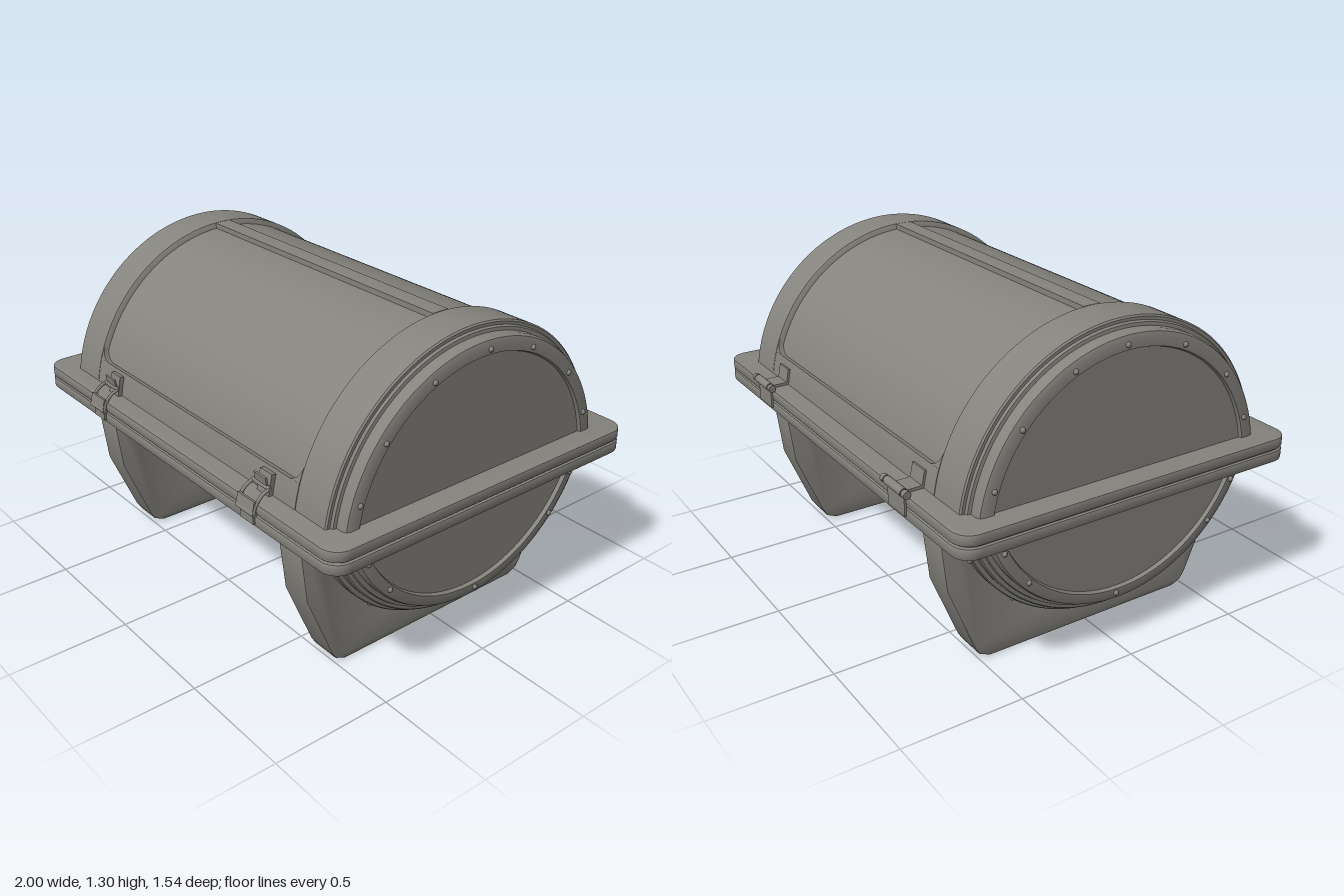
import * as THREE from 'three';
import { toCreasedNormals } from 'three/addons/utils/BufferGeometryUtils.js';

const R = 0.673, FLOOR = 0.651;      // lid skin radius and recessed panel radius
const LID_Y = 0.63, TUB_Y = 0.82;    // axis heights of the two half barrels
const PANEL_X = 0.685, RIDGE = 0.053, PANEL_END = 1.28;

export function createModel() {
  const model = new THREE.Group();
  const metal = new THREE.MeshStandardMaterial({ color: 0x85837d, side: THREE.DoubleSide });
  metal.name = 'grey metal';

  const add = (name, geometry, parent = model, x = 0, y = 0, z = 0) => {
    const mesh = new THREE.Mesh(geometry, metal);
    mesh.name = name;
    mesh.position.set(x, y, z);
    parent.add(mesh);
    return mesh;
  };
  const group = (name, parent = model) => {
    const g = new THREE.Group();
    g.name = name;
    parent.add(g);
    return g;
  };
  const box = (name, parent, w, h, d, x, y, z) => add(name, new THREE.BoxGeometry(w, h, d), parent, x, y, z);

  // Revolves a [radius, x] profile about the x axis; angle 0 points up, positive angles to the front
  const basis = new THREE.Matrix4().makeBasis(
    new THREE.Vector3(0, 0, 1), new THREE.Vector3(1, 0, 0), new THREE.Vector3(0, 1, 0));
  const arc = (profile, from, to, segments = 72) => toCreasedNormals(
    new THREE.LatheGeometry(profile.map(p => new THREE.Vector2(...p)), segments, from, to - from).applyMatrix4(basis), 0.5);
  const mirrored = half => [...half.map(([r, x]) => [r, -x]), ...half.slice().reverse()];

  // Lid: recessed end discs, riveted rims, wide end bands and a sunken middle
  const lid = group('lid');
  lid.position.y = LID_Y;
  add('lidShell', arc(mirrored([
    [0, 0.905], [0.572, 0.905], [0.577, 0.918], [0.615, 0.918], [0.63, 0.912], [0.637, 0.897],
    [0.637, 0.868], [0.65, 0.866], [0.655, 0.856], [0.667, 0.856], [R, 0.85],
    [R, PANEL_X + 0.003], [R - 0.004, PANEL_X], [FLOOR, PANEL_X - 0.005],
  ]), -1.52, 1.52, 96), lid);
  const strip = [[FLOOR - 0.01, -PANEL_X], [R, -PANEL_X], [R, PANEL_X], [FLOOR - 0.01, PANEL_X]];
  add('lidRidge', arc(strip, -RIDGE, RIDGE, 6), lid);
  const ridgeSide = new THREE.BoxGeometry(PANEL_X * 2, 0.025, 0.002);
  for (const s of [-1, 1]) {
    add('ridgeSide', ridgeSide, lid, 0, R - 0.0135, s * R * Math.sin(RIDGE));
    add('lidLowerRail', arc(strip, s > 0 ? PANEL_END : -1.52, s > 0 ? 1.52 : -PANEL_END, 8), lid);
    const lip = box('railLip', lid, PANEL_X * 2, 0.002, 0.025, 0,
      0.661 * Math.cos(PANEL_END), s * 0.661 * Math.sin(PANEL_END));
    lip.rotation.x = s * (PANEL_END - Math.PI / 2);
  }

  // Rounded lower corners of the sunken panels, wrapped on the barrel
  const cornerR = 0.06;
  for (const sx of [-1, 1]) for (const sz of [-1, 1]) {
    const shape = new THREE.Shape();
    shape.moveTo(0, 0);
    shape.lineTo(-sx * cornerR, 0);
    shape.quadraticCurveTo(-sx * cornerR * 0.15, sz * cornerR * 0.15, 0, sz * cornerR);
    shape.closePath();
    const g = new THREE.ExtrudeGeometry(shape, { depth: R - FLOOR + 0.005, bevelEnabled: false, curveSegments: 8 });
    const p = g.attributes.position;
    for (let i = 0; i < p.count; i++) {
      const a = sz * PANEL_END - p.getY(i) / R, r = FLOOR - 0.005 + p.getZ(i);
      p.setXYZ(i, sx * PANEL_X + p.getX(i), r * Math.cos(a), r * Math.sin(a));
    }
    add('panelCorner', toCreasedNormals(g, 0.5), lid);
  }

  // Tub: lower half barrel with stepped ends and hoops
  const tub = group('tub');
  tub.position.y = TUB_Y;
  const low = Math.PI - 1.345, high = Math.PI + 1.345;
  add('tubShell', arc(mirrored([
    [0, 0.902], [0.563, 0.902], [0.568, 0.918], [0.597, 0.918], [0.61, 0.912], [0.616, 0.897],
    [0.616, 0.875], [0.633, 0.872], [0.636, 0.862], [0.65, 0.86], [0.655, 0.855],
  ]), low, high, 96), tub);

  const rivet = new THREE.SphereGeometry(0.011, 10, 8);
  for (const x of [-0.805, -0.29, 0.288, 0.803]) {
    add('hoop', arc([[0.65, x - 0.024], [0.67, x - 0.024], [0.674, x - 0.02],
      [0.674, x + 0.02], [0.67, x + 0.024], [0.65, x + 0.024]], low, high), tub);
    for (const deg of [-62, -38, -13, 13, 38, 62]) {
      const a = deg * Math.PI / 180;
      add('hoopRivet', rivet, tub, x, -0.672 * Math.cos(a), 0.672 * Math.sin(a));
    }
  }

  // Rivets around the end rims
  const rimRivets = (parent, r, up, degrees) => {
    for (const side of [-1, 1]) for (const deg of degrees) {
      const a = deg * Math.PI / 180;
      add('rimRivet', rivet, parent, side * 0.918, up * r * Math.cos(a), r * Math.sin(a));
    }
  };
  rimRivets(lid, 0.597, 1, [-72, -50, -24, -2, 24, 50, 72]);
  rimRivets(tub, 0.585, -1, [-64, -46, -2, 46, 64]);

  // Flange: two rounded plates with a thin seam between them
  const plate = (name, w, d, y0, y1, bevel) => {
    const x = w - bevel, z = d - bevel, r = 0.07;
    const s = new THREE.Shape();
    s.moveTo(-x + r, -z);
    s.lineTo(x - r, -z);
    s.absarc(x - r, -z + r, r, -Math.PI / 2, 0);
    s.absarc(x - r, z - r, r, 0, Math.PI / 2);
    s.absarc(-x + r, z - r, r, Math.PI / 2, Math.PI);
    s.absarc(-x + r, -z + r, r, Math.PI, Math.PI * 1.5);
    const g = new THREE.ExtrudeGeometry(s, {
      depth: y1 - y0 - 2 * bevel, bevelEnabled: bevel > 0, bevelSize: bevel,
      bevelThickness: bevel, bevelSegments: 2, curveSegments: 10,
    }).rotateX(-Math.PI / 2);
    add(name, toCreasedNormals(g, 0.5), model, 0, y0 + bevel);
  };
  plate('lowerFlange', 1, 0.748, 0.63, 0.675, 0.006);
  plate('flangeSeal', 0.988, 0.736, 0.66, 0.7, 0);
  plate('upperFlange', 1, 0.748, 0.682, 0.727, 0.006);

  // Cradle feet with a round seat for the tub
  const outline = [[0.607, 0.57], [0.645, 0.563], [0.651, 0.53], [0.628, 0.34],
    [0.51, 0.055], [0.49, 0.025], [0.45, 0.008]];
  const cradle = new THREE.Shape();
  outline.forEach(([z, y], i) => (i ? cradle.lineTo(z, y) : cradle.moveTo(z, y)));
  outline.slice().reverse().forEach(([z, y]) => cradle.lineTo(-z, y));
  const seat = Math.atan2(0.25, 0.6);
  cradle.absarc(0, TUB_Y, 0.65, Math.PI + seat, Math.PI * 2 - seat, false);
  const cradleGeometry = toCreasedNormals(new THREE.ExtrudeGeometry(cradle, {
    depth: 0.117, bevelSize: 0.008, bevelThickness: 0.008, bevelSegments: 2, curveSegments: 40,
  }).translate(0, 0, -0.0585).rotateY(-Math.PI / 2), 0.5);
  for (const x of [-0.65, 0.647]) add('cradleFoot', cradleGeometry, model, x);

  const tube = points => new THREE.TubeGeometry(
    new THREE.CatmullRomCurve3(points.map(p => new THREE.Vector3(...p))), 16, 0.007, 8);
  const rod = (r, length) => new THREE.CylinderGeometry(r, r, length, 16).rotateZ(Math.PI / 2);

  // Front latches: keeper on the lid, wire bail and lever on the flange
  for (const x of [-0.527, 0.523]) {
    const latch = group('latch');
    latch.position.x = x;
    box('keeper', latch, 0.07, 0.085, 0.03, 0, 0.768, 0.662).rotation.x = -0.2;
    box('keeperHook', latch, 0.07, 0.045, 0.008, 0, 0.785, 0.69).rotation.x = 0.15;
    box('keeperFoot', latch, 0.07, 0.01, 0.04, 0, 0.765, 0.673);
    add('bailBar', rod(0.008, 0.105), latch, 0, 0.768, 0.69);
    for (const s of [-1, 1])
      add('bailArm', tube([[s * 0.048, 0.768, 0.69], [s * 0.048, 0.752, 0.725],
        [s * 0.048, 0.72, 0.752], [s * 0.048, 0.69, 0.762]]), latch);
    box('lever', latch, 0.1, 0.055, 0.012, 0, 0.712, 0.758).rotation.x = -0.2;
    box('latchBase', latch, 0.078, 0.09, 0.012, 0, 0.688, 0.752);
    add('latchPivot', rod(0.011, 0.105), latch, 0, 0.69, 0.759);
  }

  // Rear hinges: leaf on the lid, strap and knuckle, lower leaf on the flange
  for (const x of [-0.574, 0.57]) {
    const hinge = group('hinge');
    hinge.position.x = x;
    box('lidLeaf', hinge, 0.085, 0.075, 0.012, 0, 0.757, -0.664).rotation.x = 0.2;
    box('strap', hinge, 0.085, 0.012, 0.095, 0, 0.733, -0.709);
    add('knuckle', rod(0.017, 0.12), hinge, 0, 0.742, -0.757);
    add('hingePin', rod(0.011, 0.172), hinge, 0, 0.742, -0.757);
    for (const s of [-1, 1]) add('pinEnd', rod(0.016, 0.02), hinge, s * 0.076, 0.742, -0.757);
    box('flangeLeaf', hinge, 0.12, 0.085, 0.01, 0, 0.69, -0.751);
  }
  return model;
}
